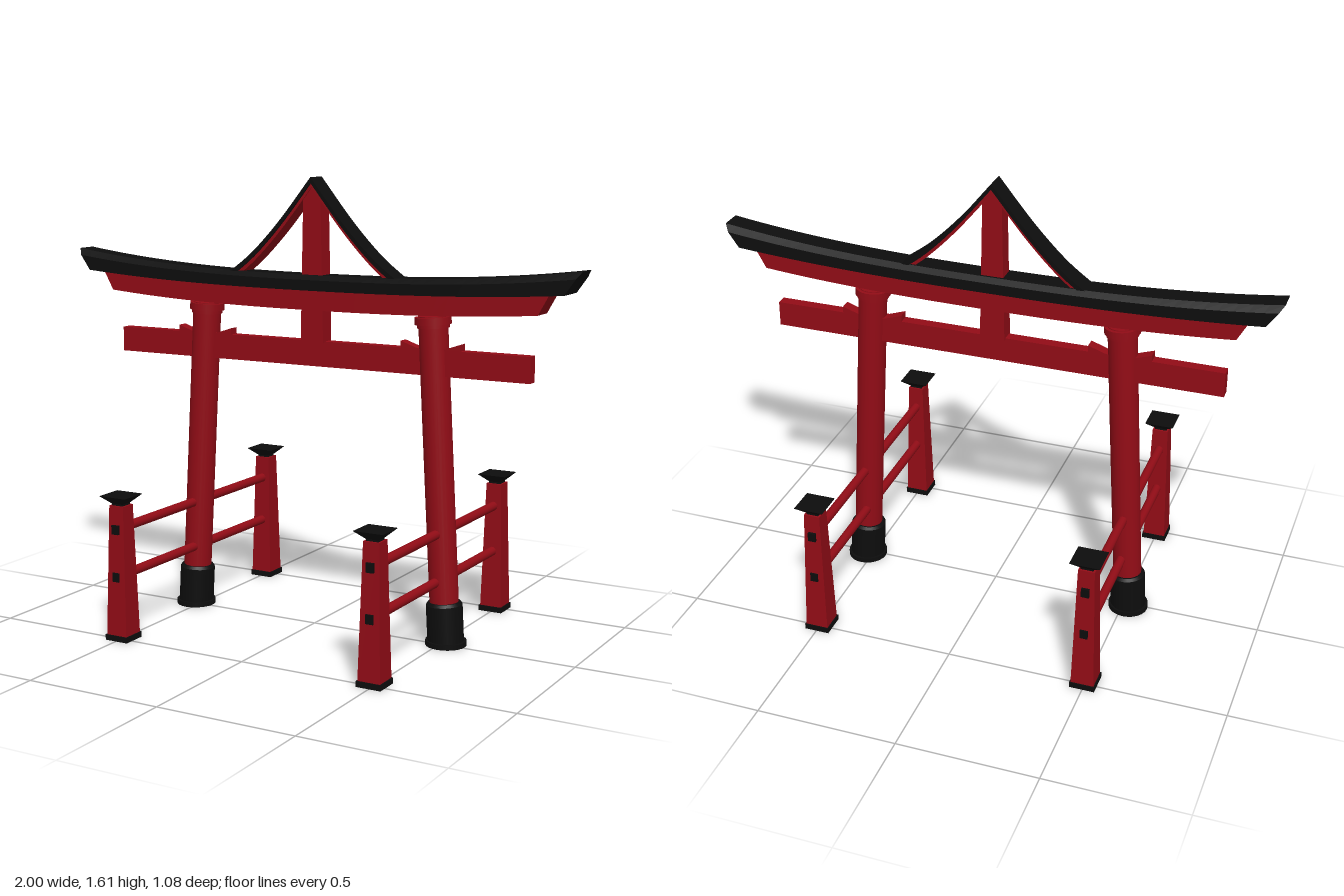
import * as THREE from 'three';

const red = new THREE.MeshStandardMaterial({ color: 0x920c16 });
const redFlat = new THREE.MeshStandardMaterial({ color: 0x920c16, flatShading: true });
const black = new THREE.MeshStandardMaterial({ color: 0x0d0d0d });
const blackFlat = new THREE.MeshStandardMaterial({ color: 0x0d0d0d, flatShading: true });

const Z = -0.01; // depth of the main frame

function add(parent, name, geo, mat, x = 0, y = 0, z = 0) {
  const mesh = new THREE.Mesh(geo, mat);
  mesh.name = name;
  mesh.position.set(x, y, z);
  parent.add(mesh);
  return mesh;
}

const box = (w, h, d) => new THREE.BoxGeometry(w, h, d);

// Square frustum standing on y = 0
function frustum(bottom, top, h) {
  const g = new THREE.CylinderGeometry(top * Math.SQRT1_2, bottom * Math.SQRT1_2, h, 4);
  return g.rotateY(Math.PI / 4).translate(0, h / 2, 0);
}

const disc = (r, y0, y1) => new THREE.CylinderGeometry(r, r, y1 - y0, 24).translate(0, (y0 + y1) / 2, 0);

const polygon = pts => new THREE.Shape(pts.map(p => new THREE.Vector2(p[0], p[1])));

// Extrude centred on z
function slab(pts, depth) {
  const g = new THREE.ExtrudeGeometry(polygon(pts), { depth, bevelEnabled: false });
  return g.translate(0, 0, -depth / 2);
}

// Beam along x: its section is swept, its ends slanted and then swept upward
function curvedBeam(section, y0, y1, halfBottom, halfTop, riseBottom, riseTop) {
  const g = new THREE.ExtrudeGeometry(polygon(section), { depth: 2, steps: 40, bevelEnabled: false });
  g.translate(0, 0, -1).rotateY(Math.PI / 2);
  const p = g.attributes.position;
  for (let i = 0; i < p.count; i++) {
    const t = (p.getY(i) - y0) / (y1 - y0);
    const x = p.getX(i) * THREE.MathUtils.lerp(halfBottom, halfTop, t);
    const rise = THREE.MathUtils.lerp(riseBottom, riseTop, t) * Math.abs(x) ** 2.5;
    p.setXY(i, x, p.getY(i) + rise);
  }
  g.computeVertexNormals();
  return g;
}

// Peaked roof strip that sags on both sides
function gableStrip(drop, thickness, depth) {
  const curve = new THREE.SplineCurve([[0, 1.607], [0.125, 1.455], [0.24, 1.338], [0.34, 1.262]]
    .map(p => new THREE.Vector2(...p)));
  const half = curve.getPoints(14);
  const line = [...half.slice(1).reverse().map(p => [-p.x, p.y]), ...half.map(p => [p.x, p.y])];
  const lower = line.map(([x, y]) => [x, y - drop - thickness]).reverse();
  return slab([...lower, ...line.map(([x, y]) => [x, y - drop])], depth);
}

function pillar(side) {
  const g = new THREE.Group();
  g.name = side > 0 ? 'leftPillar' : 'rightPillar';
  g.position.set(side * 0.52, 0, Z);
  add(g, 'foot', disc(0.072, 0, 0.018), black);
  // Everything above the foot leans inward
  const lean = new THREE.Group();
  lean.name = 'leaningShaft';
  lean.rotation.z = side * Math.atan(0.065 / 1.15);
  g.add(lean);
  add(lean, 'shaft', disc(0.051, 0.01, 1.15), red);
  add(lean, 'sleeve', disc(0.064, 0.005, 0.145), black);
  add(lean, 'sleeveRim', new THREE.CylinderGeometry(0.057, 0.064, 0.01, 24), black, 0, 0.15, 0);
  add(lean, 'lowerCollar', disc(0.056, 1.11, 1.13), red);
  add(lean, 'collar', disc(0.063, 1.122, 1.147), red);
  return g;
}

// Wedges locking the tie beam on both sides of a pillar
function wedges(parent, side) {
  for (const dir of [-1, 1]) {
    const pts = [[0.02, 1.03], [0.112, 1.03], [0.112, 1.058], [0.05, 1.037], [0.02, 1.035]];
    const shape = pts.map(([x, y]) => [dir * x, y]);
    add(parent, 'wedge', slab(shape, 0.04), redFlat, side * 0.455, 0, Z);
  }
}

// Two short posts joined by rails through the pillar
function sideFence(side) {
  const g = new THREE.Group();
  g.name = side > 0 ? 'leftFence' : 'rightFence';
  g.position.x = side * 0.498;
  for (const dir of [-1, 1]) {
    const z = dir * 0.487;
    add(g, 'postBase', box(0.09, 0.02, 0.09), blackFlat, 0, 0.01, z);
    add(g, 'post', frustum(0.082, 0.058, 0.465), redFlat, 0, 0.018, z);
    add(g, 'postCapNeck', box(0.044, 0.02, 0.044), blackFlat, 0, 0.485, z);
    add(g, 'postCap', frustum(0.044, 0.107, 0.029), blackFlat, 0, 0.489, z);
    for (const y of [0.4, 0.23]) add(g, 'railEnd', box(0.028, 0.032, 0.045), blackFlat, 0, y, dir * 0.505);
  }
  for (const y of [0.4, 0.23]) {
    const rail = new THREE.CylinderGeometry(0.0165, 0.0165, 0.97, 12).rotateX(Math.PI / 2);
    add(g, 'rail', rail, red, 0, y, 0);
  }
  return g;
}

export function createModel() {
  const model = new THREE.Group();
  model.name = 'gate';

  for (const side of [-1, 1]) {
    model.add(pillar(side), sideFence(side));
    wedges(model, side);
  }

  // Horizontal beams
  add(model, 'tieBeam', box(1.64, 0.09, 0.04), redFlat, 0, 0.99, Z);
  const w = 0.0405;
  add(model, 'lintel', curvedBeam([[-w, 1.145], [w, 1.145], [w, 1.22], [-w, 1.22]],
    1.145, 1.22, 0.85, 0.89, 0.045, 0.036), redFlat, 0, 0, Z);
  const r = 0.0565;
  add(model, 'roofBeam', curvedBeam(
    [[-r, 1.215], [r, 1.215], [r, 1.252], [0.038, 1.268], [-0.038, 1.268], [-r, 1.252]],
    1.215, 1.268, 0.945, 1.0, 0.036, 0.057), blackFlat, 0, 0, Z);

  // Central strut carrying the small gable
  add(model, 'centreStrut', slab([[-0.045, 1.03], [0.045, 1.03], [0.034, 1.555], [0, 1.59], [-0.034, 1.555]], 0.06), redFlat, 0, 0, Z);
  add(model, 'gableRoof', gableStrip(0, 0.02, 0.081), blackFlat, 0, 0, Z);
  add(model, 'gableLining', gableStrip(0.02, 0.016, 0.066), redFlat, 0, 0, Z);

  return model;
}
